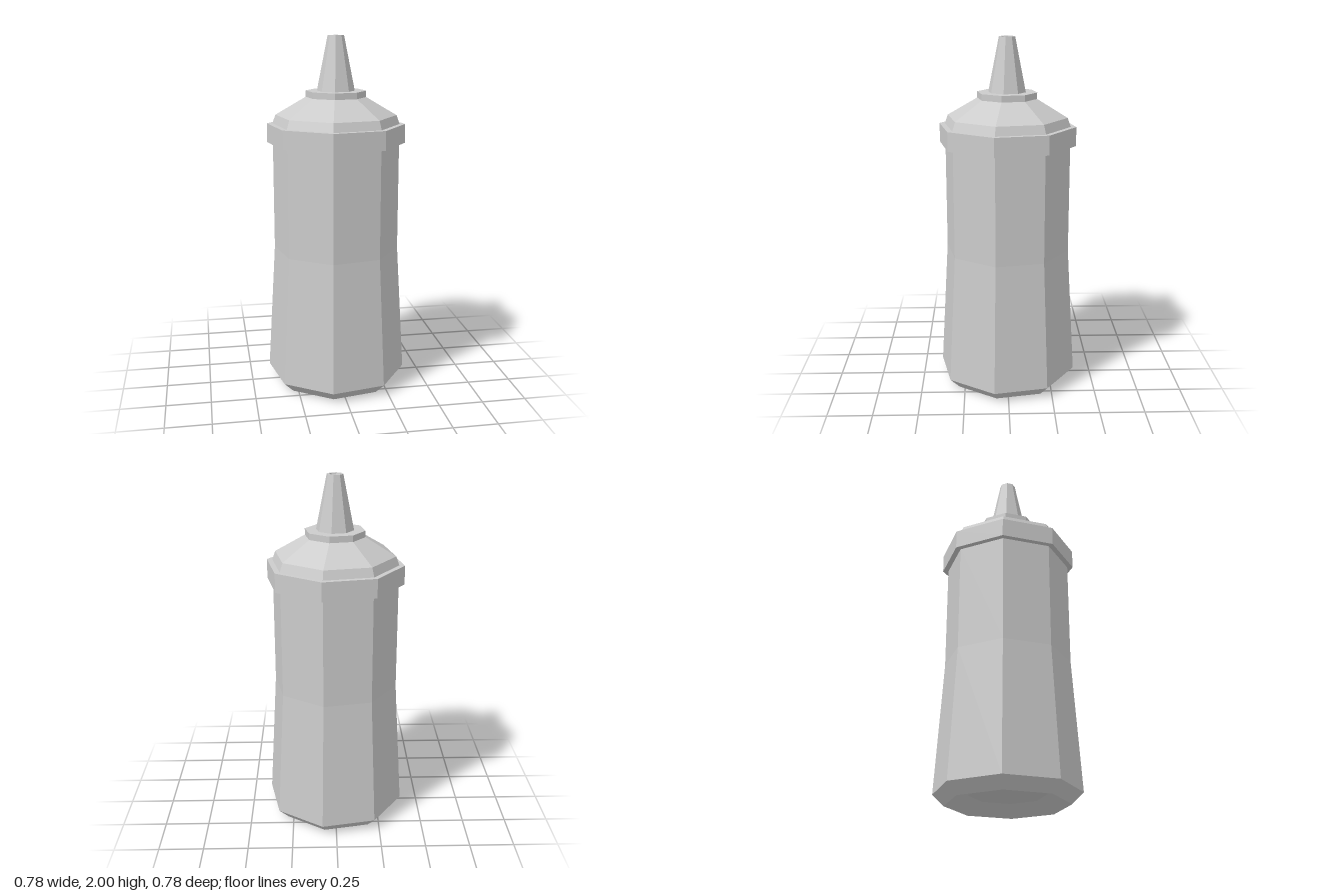
import * as THREE from 'three';

const SIDES = 8;
const TURN = THREE.MathUtils.degToRad(33.5); // the octagon sits slightly rotated

const material = new THREE.MeshStandardMaterial({ color: 0xcccccc, flatShading: true });

// Eight-sided part turned from a [radius, height] profile
function turned(name, profile) {
  const points = profile.map(([r, y]) => new THREE.Vector2(r, y));
  const mesh = new THREE.Mesh(new THREE.LatheGeometry(points, SIDES, TURN), material);
  mesh.name = name;
  return mesh;
}

export function createModel() {
  const bottle = new THREE.Group();
  bottle.name = 'squeezeBottle';

  // Body: recessed base, chamfered foot, tapered lower half, straight upper half
  bottle.add(turned('body', [
    [0, 0.055], [0.21, 0.055], [0.337, 0], [0.4, 0.062],
    [0.355, 0.8], [0.355, 1.415],
  ]));

  // Cap: collar, small step and shallow cone
  bottle.add(turned('cap', [
    [0.355, 1.41], [0.387, 1.41], [0.387, 1.516], [0.356, 1.516],
    [0.338, 1.565], [0.168, 1.665],
  ]));

  // Flat ring under the nozzle
  bottle.add(turned('nozzleRing', [
    [0.168, 1.665], [0.168, 1.7], [0.1, 1.7],
  ]));

  // Nozzle: tapered spout with a shallow hole in the tip
  bottle.add(turned('nozzle', [
    [0.105, 1.7], [0.045, 2], [0.033, 2], [0.02, 1.94], [0, 1.94],
  ]));

  return bottle;
}
